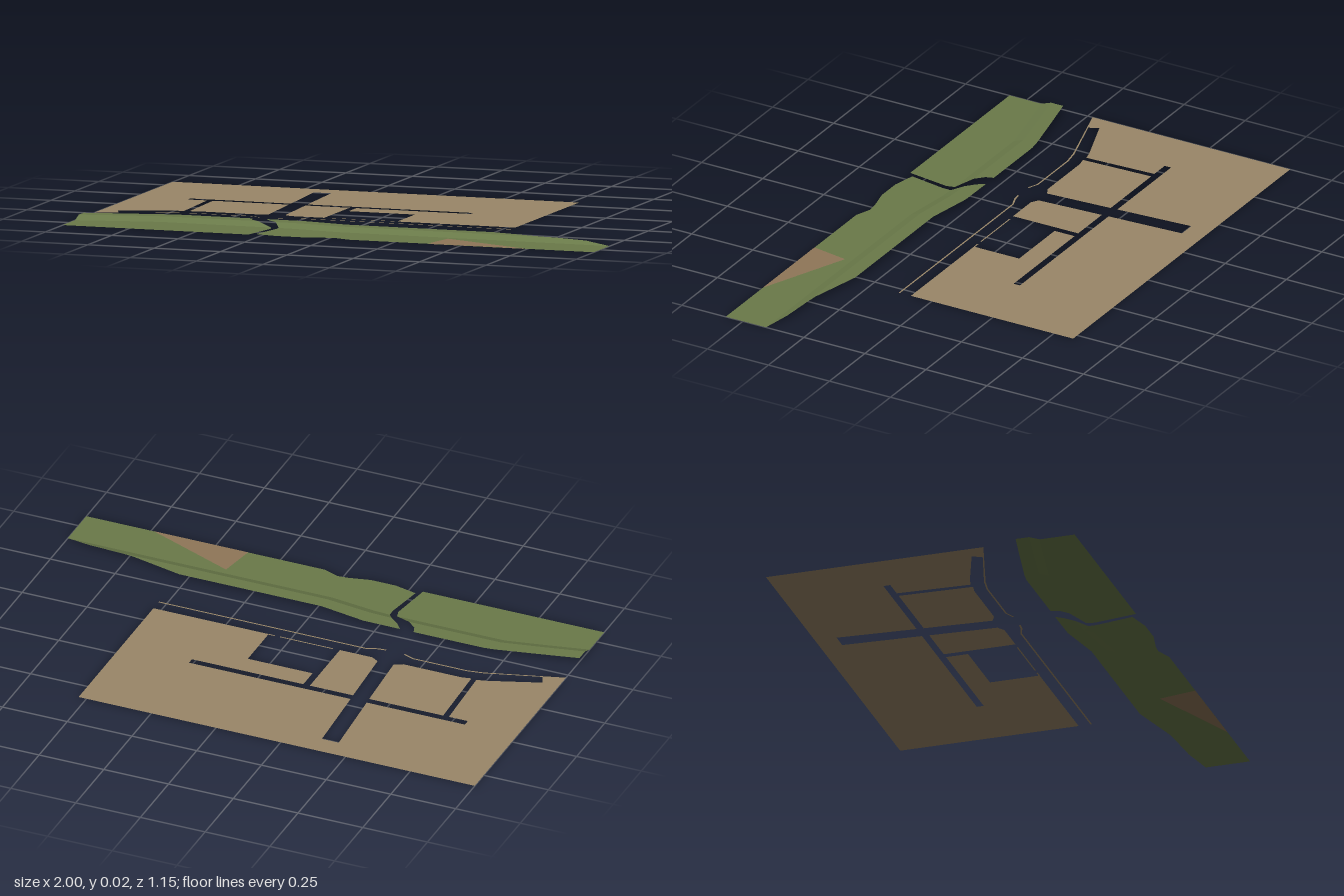
import * as THREE from 'three';

const material = (color) => new THREE.MeshStandardMaterial({ color, side: THREE.DoubleSide, flatShading: true });
const HEIGHT = 0.0145;

// Flat polygon on the ground, corners given as [x, z]
function plate(name, points, mat) {
  const shape = new THREE.Shape(points.map(([x, z]) => new THREE.Vector2(x, -z)));
  const mesh = new THREE.Mesh(new THREE.ShapeGeometry(shape).rotateX(-Math.PI / 2), mat);
  mesh.name = name;
  return mesh;
}

// Piecewise linear lookup in a list of [input, output] knots
function lookup(knots, t) {
  for (let i = 1; i < knots.length; i++) {
    const [a, va] = knots[i - 1], [b, vb] = knots[i];
    if (t <= b) return THREE.MathUtils.lerp(va, vb, THREE.MathUtils.clamp((t - a) / (b - a), 0, 1));
  }
  return knots[knots.length - 1][1];
}

// Embankment lines running along x: rear edge, top of slope, front edge
const rear = [[-1, 0.35], [-0.85, 0.317], [-0.7, 0.285], [-0.66, 0.28], [-0.2, 0.28], [-0.02, 0.313],
  [0.53, 0.313], [0.73, 0.36], [0.9, 0.375], [1, 0.405]];
const crest = [[-1, 0.4], [-0.85, 0.368], [-0.7, 0.338], [-0.22, 0.338], [-0.02, 0.365], [1, 0.365]];
const front = [[-1, 0.57], [-0.28, 0.57], [-0.279, 0.552], [-0.195, 0.57], [-0.1, 0.57], [-0.03, 0.553],
  [0.02, 0.548], [0.08, 0.57], [1, 0.57]];
// Sides of the footpath: x by z
const pathLeft = [[0.28, -0.39], [0.315, -0.378], [0.34, -0.345], [0.38, -0.28], [0.41, -0.275], [0.57, -0.3]];
const pathRight = [[0.28, -0.337], [0.3, -0.325], [0.36, -0.255], [0.41, -0.255], [0.55, -0.28]];

// Terraced bank: upper level, slope and lower level lofted over columns of x
function bank(name, columns, pathEdge, mat) {
  const rows = 6, pos = [], index = [];
  for (const col of columns) {
    const ref = col === 'path' ? pathEdge[0][1] + 0.08 : col;
    const r = lookup(rear, ref), c = Math.max(r, lookup(crest, ref)), foot = lookup(crest, ref) + 0.04;
    const end = col === 'path' ? pathEdge[pathEdge.length - 1][0] : lookup(front, ref);
    for (const z of [r, (r + c) / 2, c, foot, foot + 0.03, end]) {
      const x = col === 'path' ? lookup(pathEdge, z) : col;
      pos.push(x, HEIGHT * THREE.MathUtils.clamp((foot - z) / 0.04, 0, 1), z);
    }
  }
  for (let c = 0; c < columns.length - 1; c++) {
    for (let r = 0; r < rows - 1; r++) {
      const a = c * rows + r, b = a + 1, d = a + rows;
      index.push(a, b, d, b, d + 1, d);
    }
  }
  let geo = new THREE.BufferGeometry();
  geo.setAttribute('position', new THREE.Float32BufferAttribute(pos, 3));
  geo.setIndex(index);
  geo = geo.toNonIndexed();
  geo.computeVertexNormals();
  const mesh = new THREE.Mesh(geo, mat);
  mesh.name = name;
  return mesh;
}

export function createModel() {
  const group = new THREE.Group();
  group.name = 'siteGround';
  const earth = material(0x9a8768), grass = material(0x6a7a49), soil = material(0x8f7658);

  // Main earth plot, cut by the street network
  group.add(plate('earthPlot', [
    [-1, -0.58], [0.53, -0.58], [0.53, 0.085], [0.085, 0.085], [0.085, -0.1], [-0.165, -0.1],
    [-0.165, -0.182], [0.265, -0.182], [0.265, -0.208], [-0.359, -0.208], [-0.375, -0.5], [-0.44, -0.5],
    [-0.421, -0.208], [-0.8, -0.208], [-0.8, -0.182], [-0.727, -0.182], [-0.715, 0.09], [-0.75, 0.098],
    [-0.938, 0.166], [-0.922, 0.202], [-0.72, 0.141], [-0.66, 0.131], [-0.45, 0.131], [-0.41, 0.147],
    [-0.41, 0.153], [-0.45, 0.137], [-0.66, 0.137], [-0.72, 0.147], [-1, 0.23],
  ], earth));

  // Blocks enclosed by the streets
  group.add(plate('leftBlock', [
    [-0.705, -0.182], [-0.419, -0.182], [-0.404, 0.07], [-0.435, 0.085], [-0.66, 0.085], [-0.695, 0.092],
  ], earth));
  group.add(plate('middleBlock', [
    [-0.357, -0.182], [-0.19, -0.182], [-0.19, 0.085], [-0.315, 0.085], [-0.343, 0.068],
  ], earth));

  // Thin verges beside the main street and the courtyard
  group.add(plate('streetVerge', [
    [-0.34, 0.147], [-0.31, 0.143], [-0.27, 0.129], [0.53, 0.129], [0.53, 0.135], [-0.27, 0.135],
    [-0.31, 0.15], [-0.34, 0.153],
  ], earth));
  for (const [x0, x1] of [[-0.165, 0.04], [0.06, 0.085]]) {
    group.add(plate('courtyardVerge', [[x0, 0.081], [x1, 0.081], [x1, 0.086], [x0, 0.086]], earth));
  }

  // Grass banks on both sides of the footpath
  group.add(bank('leftBank', [-1, -0.85, -0.7, -0.66, -0.45, 'path'], pathLeft, grass));
  group.add(bank('rightBank',
    ['path', -0.195, -0.1, -0.02, 0.02, 0.08, 0.53, 0.73, 0.78, 0.9, 1], pathRight, grass));

  // Bare soil patch, visible from above and below
  for (const y of [0.0006, -0.0006]) {
    const patch = plate('soilPatch', [[0.4, 0.43], [0.74, 0.57], [0.375, 0.57]], soil);
    patch.position.y = y;
    group.add(patch);
  }
  return group;
}
